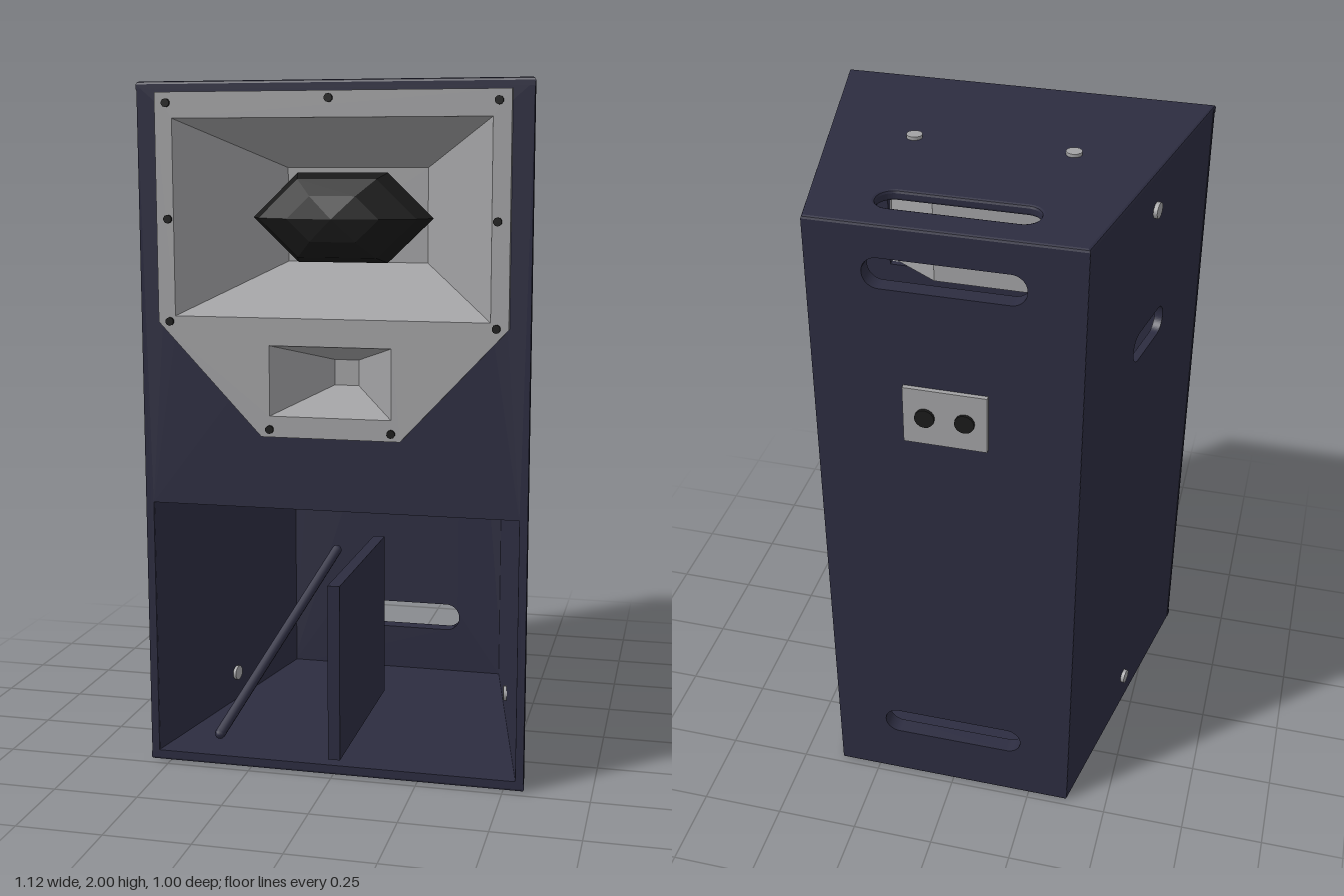
import * as THREE from 'three';

const material = (name, color, side = THREE.FrontSide) => {
  const m = new THREE.MeshStandardMaterial({ color, side });
  m.name = name;
  return m;
};

// Closed rectangle path, optionally with rounded ends
function rect(Type, cx, cy, w, h, r = 0) {
  const p = new Type();
  const x0 = cx - w / 2, x1 = cx + w / 2, y0 = cy - h / 2, y1 = cy + h / 2;
  if (r === 0) {
    return p.setFromPoints([[x0, y0], [x1, y0], [x1, y1], [x0, y1]].map((a) => new THREE.Vector2(...a)));
  }
  p.absarc(x1 - r, y0 + r, r, -Math.PI / 2, 0);
  p.absarc(x1 - r, y1 - r, r, 0, Math.PI / 2);
  p.absarc(x0 + r, y1 - r, r, Math.PI / 2, Math.PI);
  p.absarc(x0 + r, y0 + r, r, Math.PI, Math.PI * 1.5);
  p.closePath();
  return p;
}

const polygon = (pts) => new THREE.Shape(pts.map((p) => new THREE.Vector2(...p)));

// Flat sheet of the given thickness, starting at z = 0
function sheet(shape, holes, thickness, bevel = 0) {
  shape.holes.push(...holes);
  const geo = new THREE.ExtrudeGeometry(shape, {
    depth: thickness - 2 * bevel, bevelEnabled: bevel > 0, bevelSize: bevel,
    bevelThickness: bevel, bevelOffset: -bevel, bevelSegments: 2, curveSegments: 8,
  });
  return geo.translate(0, 0, bevel);
}

// Four-sided flare narrowing backwards to a closed throat
function flare(mouth, throat) {
  const ring = ({ w, y0, y1, z }) => [[-w, y0, z], [w, y0, z], [w, y1, z], [-w, y1, z]];
  const a = ring(mouth), b = ring(throat), pos = [];
  const quad = (p, q, r, s) => pos.push(...p, ...q, ...r, ...p, ...r, ...s);
  for (let i = 0; i < 4; i++) {
    const j = (i + 1) % 4;
    quad(a[i], a[j], b[j], b[i]);
  }
  quad(...b);
  const geo = new THREE.BufferGeometry();
  geo.setAttribute('position', new THREE.Float32BufferAttribute(pos, 3));
  geo.computeVertexNormals();
  return geo;
}

export function createModel() {
  const navy = material('cabinet navy', 0x2c2c40);
  const grey = material('horn grey', 0xa2a2a4, THREE.DoubleSide);
  const black = material('fitting black', 0x1a1a1a);
  const model = new THREE.Group();
  model.name = 'hornSpeaker';

  const add = (name, geo, mat, parent = model) => {
    const mesh = new THREE.Mesh(geo, mat);
    mesh.name = name;
    parent.add(mesh);
    return mesh;
  };

  const F = 0.475, B = -0.48, WF = 0.56, WB = 0.375, H = 1.99;

  // Top and floor panels, tapered towards the back
  const plan = () => polygon([[-WF, -F], [WF, -F], [WB, -B], [-WB, -B]]);
  const topSlot = rect(THREE.Path, 0, 0.333, 0.44, 0.097, 0.045);
  add('topPanel', sheet(plan(), [topSlot], 0.03, 0.008).rotateX(-Math.PI / 2), navy).position.y = H - 0.03;
  add('floorPanel', sheet(plan(), [], 0.03, 0.008).rotateX(-Math.PI / 2), navy);

  // Shelf closing the lower chamber
  const shelf = polygon([[-0.53, -0.455], [0.53, -0.455], [0.362, 0.44], [-0.362, 0.44]]);
  add('chamberShelf', sheet(shelf, [], 0.02).rotateX(-Math.PI / 2), navy).position.y = 0.79;

  // Front frame with the lower mouth and both horn openings
  const bigHole = () => rect(THREE.Path, 0, 1.613, 0.9, 0.55);
  const smallHole = () => rect(THREE.Path, 0, 1.16, 0.35, 0.2);
  const mouthHole = rect(THREE.Path, 0, 0.41, 1.07, 0.76);
  add('frontFrame', sheet(rect(THREE.Shape, 0, H / 2, 1.116, H - 0.02),
    [mouthHole, bigHole(), smallHole()], 0.022), navy).position.z = F - 0.022;

  // Back panel with two hand slots
  const backSlots = [0.22, 1.85].map((y) => rect(THREE.Path, 0, y, 0.44, 0.09, 0.044));
  add('backPanel', sheet(rect(THREE.Shape, 0, H / 2, WB * 2, H - 0.02), backSlots, 0.05), navy).position.z = B;

  // Slanted side walls with a hand slot and two rigging bolts each
  const dx = WF - WB, dz = F - B, length = Math.hypot(dx, dz);
  for (const s of [1, -1]) {
    const mirror = new THREE.Group();
    mirror.name = s > 0 ? 'leftSide' : 'rightSide';
    mirror.scale.x = s;
    model.add(mirror);
    const side = new THREE.Group();
    side.name = 'sideWall';
    side.position.set((WF + WB) / 2, 0, (F + B) / 2);
    side.rotation.y = Math.atan2(dz, -dx);
    mirror.add(side);
    const slot = rect(THREE.Path, -0.01, 1.475, 0.24, 0.09, 0.044);
    add('sidePanel', sheet(rect(THREE.Shape, 0.004, H / 2, length - 0.012, H - 0.02), [slot], 0.024)
      .translate(0, 0, -0.024), navy, side);
    for (const y of [0.12, 1.875]) {
      add('sideBolt', new THREE.CylinderGeometry(0.023, 0.023, 0.045, 12).rotateX(Math.PI / 2), grey, side)
        .position.set(0, y, -0.011);
    }
    // Rigging bolt on the top
    add('topBolt', new THREE.CylinderGeometry(0.023, 0.023, 0.045, 12), grey, mirror)
      .position.set(0.227, H - 0.0125, 0.045);
  }

  // Braces inside the lower chamber
  add('centreBrace', new THREE.BoxGeometry(0.036, 0.525, 0.61), navy).position.set(0, 0.303, 0.155);
  const from = new THREE.Vector3(-0.35, 0.09, 0.455), to = new THREE.Vector3(-0.13, 0.525, -0.1);
  add('diagonalRod', new THREE.TubeGeometry(new THREE.LineCurve3(from, to), 1, 0.016, 10),
    navy);
  for (const p of [from, to]) {
    add('rodEnd', new THREE.SphereGeometry(0.016, 10, 6), navy).position.copy(p);
  }

  // Horn plate and its two flares
  const outline = polygon([[-0.2, 1], [0.2, 1], [0.5, 1.32], [0.5, 1.96], [-0.5, 1.96], [-0.5, 1.32]]);
  add('hornPlate', sheet(outline, [bigHole(), smallHole()], 0.017), grey).position.z = F;
  const Z = F + 0.016;
  add('largeFlare', flare({ w: 0.45, y0: 1.338, y1: 1.888, z: Z }, { w: 0.212, y0: 1.475, y1: 1.752, z: 0.15 }), grey);
  add('smallFlare', flare({ w: 0.175, y0: 1.06, y1: 1.26, z: Z }, { w: 0.036, y0: 1.125, y1: 1.2, z: 0.29 }), grey);

  // Faceted plug in the large horn
  const plugGeo = new THREE.SphereGeometry(1, 6, 6).rotateX(Math.PI / 2).scale(0.263, 0.146, 0.14).toNonIndexed();
  plugGeo.computeVertexNormals();
  add('phasePlug', plugGeo, black).position.set(0, 1.612, 0.335);

  // Plate screws
  const screws = [[0, 1.94]];
  for (const s of [1, -1]) {
    screws.push([s * 0.466, 1.93], [s * 0.466, 1.61], [s * 0.466, 1.322], [s * 0.175, 1.022]);
  }
  for (const [x, y] of screws) {
    add('plateScrew', new THREE.CylinderGeometry(0.012, 0.012, 0.016, 10).rotateX(Math.PI / 2), black)
      .position.set(x, y, F + 0.017);
  }

  // Connector plate and sockets on the back
  add('connectorPlate', new THREE.BoxGeometry(0.236, 0.175, 0.016), grey).position.set(0, 1.43, B - 0.006);
  for (const x of [-0.056, 0.056]) {
    add('connector', new THREE.CylinderGeometry(0.028, 0.028, 0.02, 16).rotateX(Math.PI / 2), black)
      .position.set(x, 1.43, B - 0.013);
  }
  return model;
}
